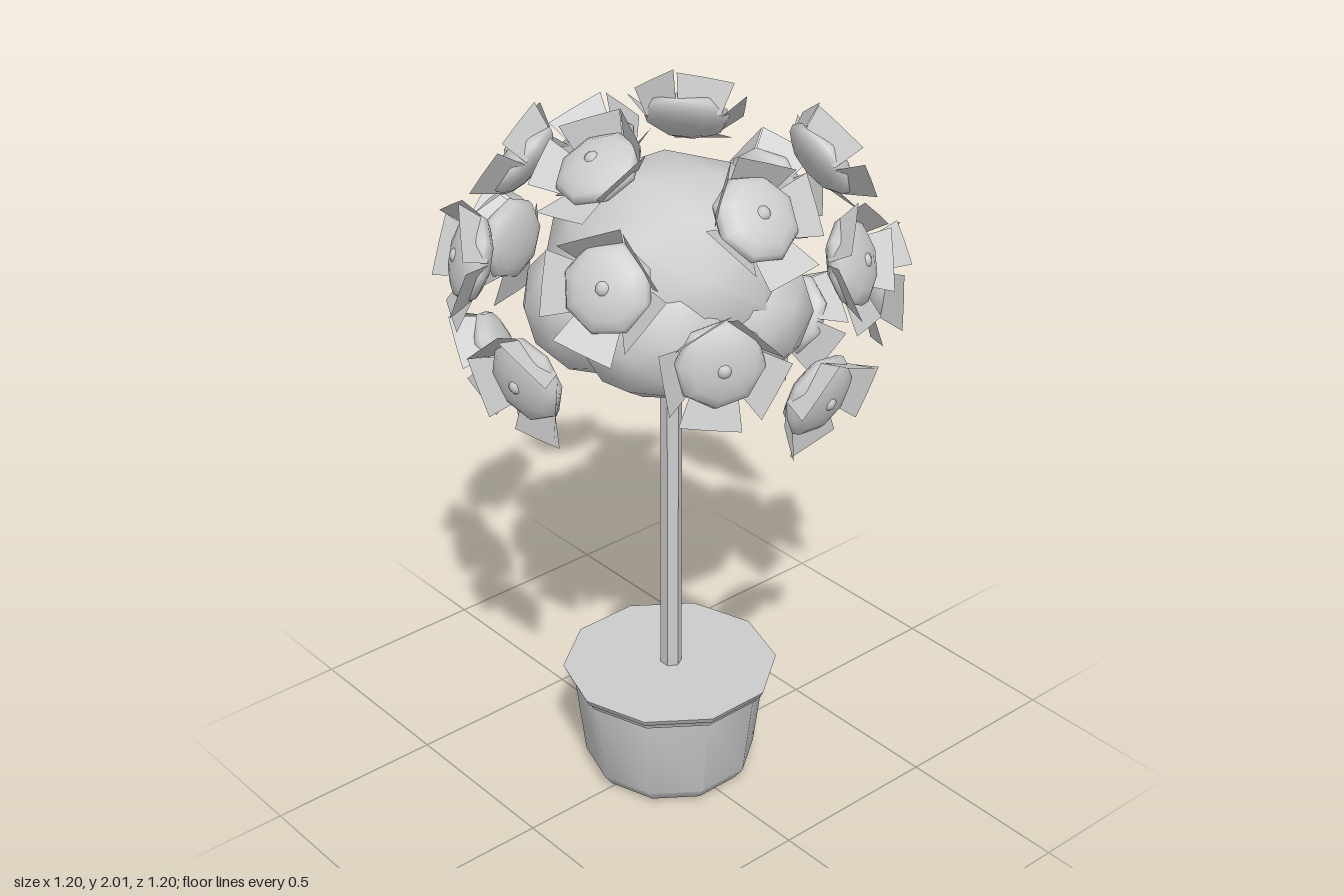
import * as THREE from 'three';
import { toCreasedNormals } from 'three/addons/utils/BufferGeometryUtils.js';

export function createModel() {
  const model = new THREE.Group();
  const grey = new THREE.MeshStandardMaterial({ color: 0xcccccc });
  grey.name = 'lightGrey';
  grey.side = THREE.DoubleSide;

  const add = (parent, name, geometry, x = 0, y = 0, z = 0) => {
    const mesh = new THREE.Mesh(geometry, grey);
    mesh.name = name;
    mesh.position.set(x, y, z);
    parent.add(mesh);
    return mesh;
  };
  const lathe = (points) => toCreasedNormals(new THREE.LatheGeometry(
    points.map(([r, y]) => new THREE.Vector2(r, y)), 10, Math.PI / 2), 0.72);

  // Ten-sided pot with a stepped rim and flat soil
  add(model, 'pot', lathe([[0, 0], [0.18, 0], [0.215, 0.01], [0.24, 0.045], [0.27, 0.3]]));
  add(model, 'potRim', lathe([[0.26, 0.298], [0.277, 0.298], [0.283, 0.313], [0.292, 0.318], [0.3, 0.335], [0.28, 0.335]]));
  add(model, 'soil', lathe([[0.295, 0.334], [0, 0.334]]));

  // Six-sided stem
  add(model, 'stem', toCreasedNormals(new THREE.CylinderGeometry(0.03, 0.03, 1.02, 6), 0.5), 0.004, 0.84, 0);

  // Crown: a central ball ringed by five lower, smaller lumps
  const ball = (radius, height, turn) => toCreasedNormals(
    new THREE.IcosahedronGeometry(radius, 1).rotateX(turn * 0.7).rotateY(turn).scale(1, height, 1), 0.8);
  add(model, 'crownTop', ball(0.335, 0.85, 0.6), 0.01, 1.555, -0.01);
  for (let i = 0; i < 5; i++) {
    const angle = i * Math.PI * 0.4 - 0.09;
    add(model, 'crownLump', ball(0.215, 0.88, 1 + i * 1.3),
      0.01 + 0.175 * Math.cos(angle), 1.47, -0.01 + 0.165 * Math.sin(angle));
  }

  // Shared blossom geometries, facing +z
  const disc = new THREE.SphereGeometry(0.115, 8, 8).rotateX(Math.PI / 2).scale(1, 1, 0.4);
  const bead = new THREE.SphereGeometry(0.021, 8, 6);
  const petalShape = new THREE.Shape([[-0.06, 0], [0.06, 0], [0.085, 0.08], [0.01, 0.086], [-0.075, 0.09]]
    .map(([x, y]) => new THREE.Vector2(x, y)));
  const petal = new THREE.ShapeGeometry(petalShape);
  const tilts = [0.25, 0.85, 1.2, 1.15, 0.75];

  const addBlossom = (x, y, z, roll) => {
    const blossom = new THREE.Group();
    blossom.name = 'blossom';
    blossom.position.set(x, y, z);
    blossom.lookAt(2 * x, 2 * y - 1.5, 2 * z);
    blossom.rotateZ(roll);
    add(blossom, 'blossomDisc', disc);
    add(blossom, 'blossomCentre', bead, 0, 0, 0.034);
    // Five petals, the lowest nearly flat and the others cupped
    tilts.forEach((tilt, i) => {
      const arm = new THREE.Group();
      arm.name = 'petalArm';
      arm.rotation.z = Math.PI + i * Math.PI * 0.4;
      add(arm, 'petal', petal, 0, 0.087, -0.015).rotation.x = tilt;
      blossom.add(arm);
    });
    model.add(blossom);
  };

  // Blossoms spread round the crown
  const places = [
    [-0.13, 1.5, -0.5], [0.15, 1.69, -0.47], [0.32, 1.4, -0.39], [-0.21, 1.8, -0.33],
    [-0.47, 1.65, -0.21], [0.24, 1.84, -0.21], [-0.22, 1.88, -0.01], [0.5, 1.58, -0.18],
    [0.44, 1.76, 0.09], [-0.51, 1.43, 0.06], [-0.39, 1.7, 0.23], [-0.04, 1.82, 0.36],
    [-0.23, 1.53, 0.45], [0.21, 1.66, 0.44], [0.05, 1.37, 0.5], [0.45, 1.49, 0.29],
    [0.44, 1.28, 0], [-0.34, 1.31, -0.3],
  ];
  places.forEach(([x, y, z], i) => addBlossom(x, y, z, 0.25 * Math.sin(i * 2.4)));

  return model;
}
